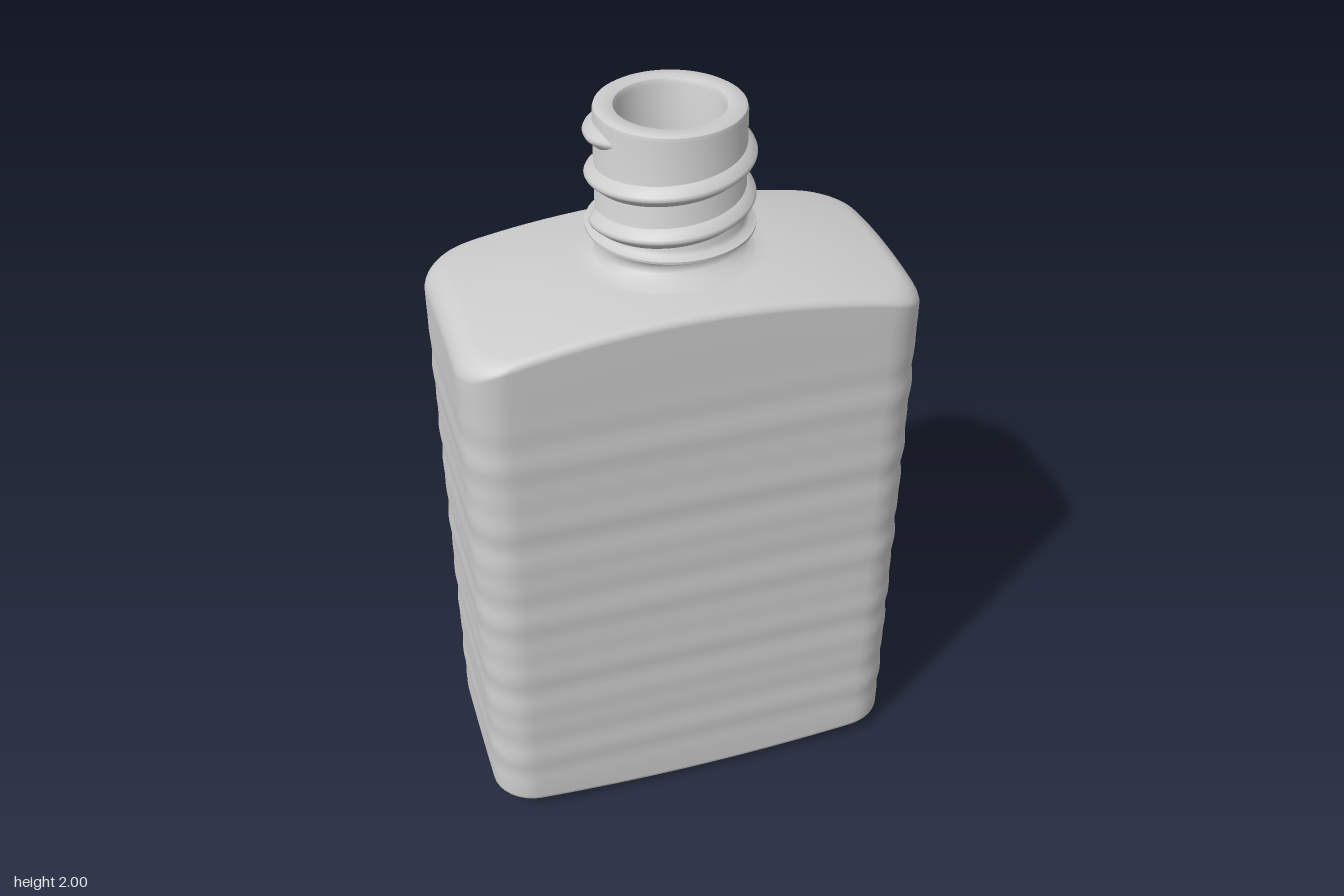
import * as THREE from 'three';
import { toCreasedNormals } from 'three/addons/utils/BufferGeometryUtils.js';

const HX = 0.587, HZ = 0.294, CORNER = 0.11;
const material = new THREE.MeshStandardMaterial({ color: 0xcccccc });

// Skins a list of closed rings (each an array of [x, y, z]) with smooth normals.
function loft(rings) {
  const n = rings[0].length, index = [];
  for (let i = 0; i < rings.length - 1; i++) {
    for (let j = 0; j < n; j++) {
      const a = i * n + j, b = i * n + (j + 1) % n;
      index.push(a, a + n, b, b, a + n, b + n);
    }
  }
  const geometry = new THREE.BufferGeometry();
  geometry.setAttribute('position', new THREE.Float32BufferAttribute(rings.flat(2), 3));
  geometry.setIndex(index);
  geometry.computeVertexNormals();
  return geometry;
}

// Rounded rectangle in plan; every point also carries its outward normal.
function outline(hx, hz) {
  const points = [], arc = 8;
  for (let q = 0; q < 4; q++) {
    const cx = (q === 0 || q === 3 ? 1 : -1) * (hx - CORNER);
    const cz = (q < 2 ? 1 : -1) * (hz - CORNER);
    for (let i = 0; i <= arc; i++) {
      const a = (q + i / arc) * Math.PI / 2;
      points.push({ x: cx + CORNER * Math.cos(a), z: cz + CORNER * Math.sin(a), nx: Math.cos(a) });
    }
    // Straight run to the next corner
    const end = points[points.length - 1], steps = q % 2 ? 10 : 24;
    const span = 2 * ((q % 2 ? hz : hx) - CORNER);
    const dir = [[-1, 0], [0, -1], [1, 0], [0, 1]][q];
    for (let i = 1; i < steps; i++) {
      const s = span * i / steps;
      points.push({ x: end.x + dir[0] * s, z: end.z + dir[1] * s, nx: end.nx });
    }
  }
  return points;
}

const shoulderY = (x, z) => 1.622 - 0.062 * (x / 0.53) ** 2 - 0.03 * (z / 0.29) ** 2;
const baseY = (x, z) => 0.028 * (x / 0.55) ** 2 + 0.016 * (z / 0.29) ** 2;
const ripple = y => 0.0012 * (Math.sin(y * 37) + Math.sin(y * 61 + 1)) * Math.min(1, 4 * (1.5 - y));

function bodyGeometry() {
  const rings = [];
  // Slightly bulging base
  for (let i = 0; i < 10; i++) {
    rings.push(outline(HX - 0.03, HZ - 0.03).map(p => {
      const x = p.x * i / 10, z = p.z * i / 10;
      return [x, baseY(x, z), z];
    }));
  }
  // Rounded bottom edge
  for (let i = 0; i <= 6; i++) {
    const a = i / 6 * Math.PI / 2, inset = 0.03 * (1 - Math.sin(a));
    rings.push(outline(HX - inset, HZ - inset).map(p =>
      [p.x, baseY(p.x, p.z) + 0.025 * (1 - Math.cos(a)), p.z]));
  }
  // Walls with faint horizontal ripples
  for (let i = 0; i <= 60; i++) {
    const y = 0.09 + 1.36 * i / 60, r = ripple(y);
    rings.push(outline(HX + r, HZ + r).map(p => [p.x, y, p.z]));
  }
  // Shoulder edge: soft at the ends, tight along front and back
  for (let i = 0; i <= 8; i++) {
    const a = i / 8 * Math.PI / 2, k = 1 - Math.cos(a);
    rings.push(outline(HX - 0.06 * k, HZ - 0.018 * k).map(p => {
      const drop = 0.018 + 0.037 * p.nx * p.nx;
      return [p.x, shoulderY(p.x, p.z) - drop * (1 - Math.sin(a)), p.z];
    }));
  }
  // Sloping shoulder, blending from the rectangle to the oval neck root
  const edge = outline(HX - 0.06, HZ - 0.018);
  const oval = (rx, rz) => edge.map(p => {
    const a = Math.atan2(p.z, p.x);
    return [rx * Math.cos(a), rz * Math.sin(a)];
  });
  const root = oval(0.215, 0.205);
  for (let i = 1; i <= 12; i++) {
    const t = i / 12;
    rings.push(edge.map((p, j) => {
      const x = THREE.MathUtils.lerp(p.x, root[j][0], t);
      const z = THREE.MathUtils.lerp(p.z, root[j][1], t);
      return [x, shoulderY(x, z), z];
    }));
  }
  // Neck root, pinched at the front and back
  for (const [rx, rz, y] of [[0.195, 0.175, 1.621], [0.187, 0.157, 1.633],
    [0.184, 0.15, 1.646], [0.183, 0.158, 1.66], [0.183, 0.17, 1.67], [0.183, 0.183, 1.682]]) {
    rings.push(oval(rx, rz).map(([x, z]) => [x, y, z]));
  }
  return loft(rings);
}

// Collar, neck wall, lip and bore with a rounded end
function neckGeometry() {
  const profile = [[0.18, 1.675], [0.192, 1.682], [0.209, 1.687], [0.209, 1.693], [0.19, 1.7],
    [0.183, 1.71], [0.183, 1.985], [0.18, 1.995], [0.172, 2], [0.146, 2], [0.134, 1.996],
    [0.128, 1.985], [0.128, 1.55]].map(([r, y]) => new THREE.Vector2(r, y));
  for (let i = 1; i <= 10; i++) {
    const a = i / 10 * Math.PI / 2;
    profile.push(new THREE.Vector2(Math.max(0, 0.128 * Math.cos(a)), 1.55 - 0.128 * Math.sin(a)));
  }
  return toCreasedNormals(new THREE.LatheGeometry(profile, 64), 0.7);
}

// Helical ridge that fades out at both ends
function threadGeometry() {
  const section = [[-0.012, -0.03], [0, -0.027], [0.012, -0.016], [0.022, -0.007], [0.025, 0],
    [0.022, 0.007], [0.012, 0.016], [0, 0.027], [-0.012, 0.03]];
  const rings = [], steps = 170, start = -0.5, end = Math.PI * 4 + 0.65;
  for (let i = 0; i <= steps; i++) {
    const t = THREE.MathUtils.lerp(start, end, i / steps);
    const fade = THREE.MathUtils.smoothstep(Math.min(t - start, end - t), 0, 0.6);
    const y = 1.72 + 0.11 * t / (Math.PI * 2), a = Math.PI - t;
    rings.push(section.map(([dr, dy]) => {
      const r = 0.182 + dr * fade - 0.006 * (1 - fade);
      return [r * Math.cos(a), y + dy * (0.4 + 0.6 * fade), r * Math.sin(a)];
    }));
  }
  return loft(rings);
}

export function createModel() {
  const bottle = new THREE.Group();
  bottle.name = 'bottle';
  const parts = { body: bodyGeometry(), neck: neckGeometry(), screwThread: threadGeometry() };
  for (const [name, geometry] of Object.entries(parts)) {
    const mesh = new THREE.Mesh(geometry, material);
    mesh.name = name;
    bottle.add(mesh);
  }
  return bottle;
}
